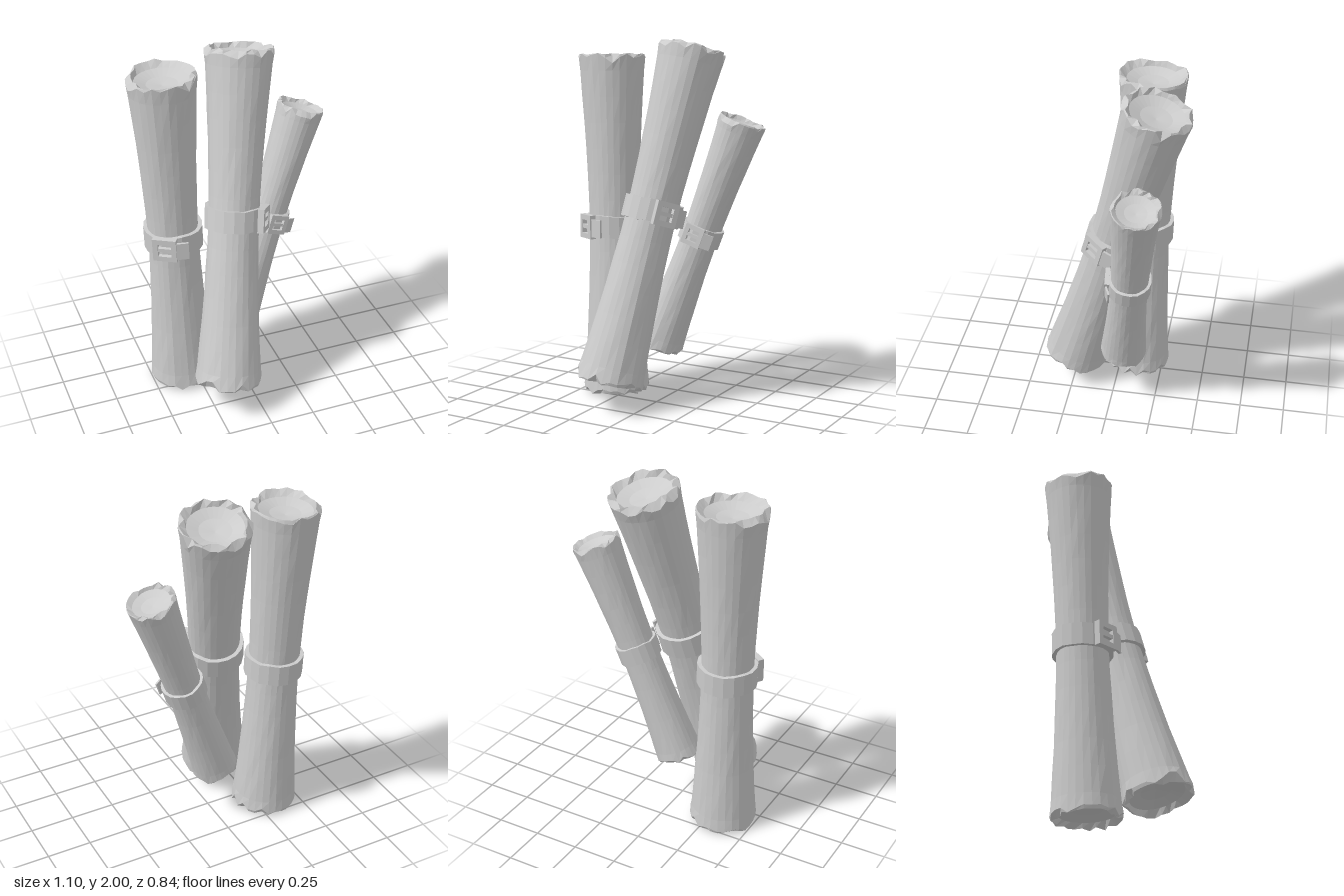
import * as THREE from 'three';

const material = new THREE.MeshStandardMaterial({ color: 0xcccccc, flatShading: true, side: THREE.DoubleSide });
const SIDES = 28;

function seeded(seed) {
  return () => {
    seed = (seed * 16807) % 2147483647;
    return seed / 2147483647;
  };
}

// Closed skin over equally long loops of points
function skin(loops) {
  const n = loops[0].length, index = [];
  for (let i = 0; i < loops.length - 1; i++) {
    for (let j = 0; j < n; j++) {
      const a = i * n + j, b = i * n + (j + 1) % n;
      index.push(a, b, b + n, a, b + n, a + n);
    }
  }
  const geometry = new THREE.BufferGeometry();
  geometry.setAttribute('position', new THREE.Float32BufferAttribute(loops.flat(2), 3));
  geometry.setIndex(index);
  geometry.computeVertexNormals();
  return geometry;
}

function add(parent, geometry, name) {
  const mesh = new THREE.Mesh(geometry, material);
  mesh.name = name;
  parent.add(mesh);
  return mesh;
}

// Rolled sheet: narrow waist, flared ragged ends closed by shallow bowls
function paperRoll(half, waist, end, seam, random) {
  const loop = (radius, y) => Array.from({ length: SIDES }, (_, j) => {
    const a = seam + (j / SIDES) * Math.PI * 2;
    // The radius grows slowly around the roll, leaving a step at the loose edge
    const spiral = 0.985 + 0.03 * (j / SIDES);
    const r = radius(j) * spiral;
    return [Math.sin(a) * r, y(j), Math.cos(a) * r];
  });
  const endLoops = sign => {
    const drop = Array.from({ length: SIDES }, () => random() * end * 0.2);
    const tear = Array.from({ length: SIDES }, () => random() < 0.35);
    const bowl = [[0.78, 0.2], [0.45, 0.32], [0, 0.38]];
    return [
      loop(() => end, j => sign * (half - drop[j] - (tear[j] ? end * 0.12 : 0))),
      loop(j => end * (tear[j] ? 0.84 : 0.97), j => sign * (half - drop[j] * 0.4)),
      ...bowl.map(([r, d]) => loop(() => end * r, () => sign * (half - end * d))),
    ];
  };
  const wall = [];
  for (let i = 0; i <= 12; i++) {
    const t = -0.9 + i * 0.15;
    const r = waist + (end - waist) * Math.pow(Math.abs(t), 1.6);
    wall.push(loop(() => r * (0.992 + random() * 0.016), () => t * half));
  }
  return skin([...endLoops(-1).reverse(), ...wall, ...endLoops(1)]);
}

// Flat strap around the waist
function strap(inner, outer, height, random) {
  const h = height / 2;
  const profile = [[inner, -h], [outer, -h], [outer, h], [inner, h], [inner, -h]];
  const geometry = new THREE.LatheGeometry(profile.map(p => new THREE.Vector2(...p)), 18);
  const wobble = Array.from({ length: 18 }, () => (random() - 0.5) * height * 0.1);
  const p = geometry.attributes.position;
  for (let i = 0; i < p.count; i++) {
    p.setY(i, p.getY(i) + wobble[Math.floor(i / profile.length) % 18]);
  }
  return geometry;
}

// Square frame with a prong and the loose strap end beside it
function buckle(size, depth) {
  const group = new THREE.Group();
  group.name = 'buckle';
  const s = size / 2, w = size * 0.22;
  const square = (Type, h) => new Type([[-h, -h], [h, -h], [h, h], [-h, h]].map(p => new THREE.Vector2(...p)));
  const shape = square(THREE.Shape, s);
  shape.holes.push(square(THREE.Path, s - w));
  const frame = add(group, new THREE.ExtrudeGeometry(shape, { depth, bevelEnabled: false }), 'buckleFrame');
  frame.position.z = -depth / 2;
  add(group, new THREE.BoxGeometry(size * 0.6, size * 0.16, depth * 0.8), 'prong');
  const tail = add(group, new THREE.BoxGeometry(size * 0.55, size * 0.75, depth * 0.4), 'strapEnd');
  tail.position.set(size * 0.7, -size * 0.04, -depth * 0.2);
  tail.rotation.y = 0.35;
  return group;
}

function scroll({ name, bottom, top, end, waist, belt, beltHeight, turn, seam, seed }) {
  const random = seeded(seed);
  const a = new THREE.Vector3(...bottom), b = new THREE.Vector3(...top);
  const axis = b.clone().sub(a), length = axis.length();
  const group = new THREE.Group();
  group.name = name;
  group.position.copy(a).add(b).multiplyScalar(0.5);
  group.quaternion.setFromUnitVectors(new THREE.Vector3(0, 1, 0), axis.normalize());
  add(group, paperRoll(length / 2, waist, end, seam, random), 'paperRoll');

  const band = new THREE.Group();
  band.name = 'belt';
  band.position.y = belt;
  add(band, strap(waist * 0.97, waist * 1.17, beltHeight, random), 'strap');
  const clasp = buckle(beltHeight * 1.1, waist * 0.25);
  const r = waist * 1.2;
  clasp.position.set(Math.sin(turn) * r, 0, Math.cos(turn) * r);
  clasp.rotation.y = turn;
  band.add(clasp);
  group.add(band);
  return group;
}

export function createModel() {
  const model = new THREE.Group();
  model.name = 'scrollBundle';
  const scrolls = [
    { name: 'rightScroll', bottom: [-0.315, 0.01, -0.1], top: [-0.37, 1.92, -0.155], end: 0.185,
      waist: 0.138, belt: -0.005, beltHeight: 0.12, turn: -0.58, seam: -0.35, seed: 11 },
    { name: 'middleScroll', bottom: [-0.16, 0.15, 0.24], top: [0.09, 1.96, -0.25], end: 0.187,
      waist: 0.138, belt: 0.02, beltHeight: 0.12, turn: 0.95, seam: 0.95, seed: 29 },
    { name: 'leftScroll', bottom: [-0.015, 0.31, -0.06], top: [0.425, 1.58, -0.19], end: 0.13,
      waist: 0.1, belt: 0.01, beltHeight: 0.1, turn: 0.1, seam: 0.3, seed: 47 },
  ];
  scrolls.forEach(s => model.add(scroll(s)));
  return model;
}
